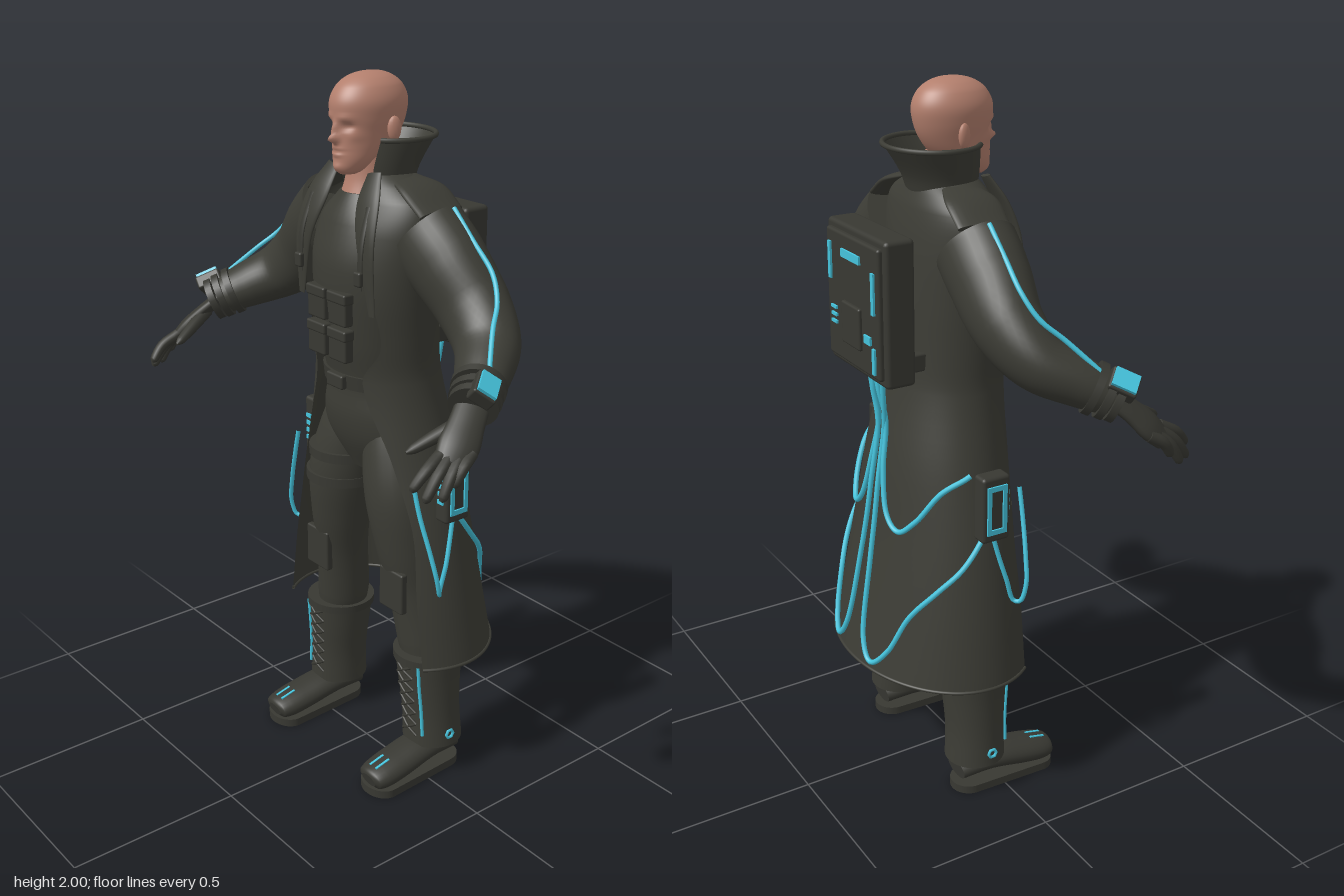
import * as THREE from 'three';
import { RoundedBoxGeometry } from 'three/addons/geometries/RoundedBoxGeometry.js';

const V = (x, y, z) => new THREE.Vector3(x, y, z);
const rad = Math.PI / 180;
const mat = (name, color) => Object.assign(new THREE.MeshStandardMaterial({ color }), { name });

// Skin a list of equal-length rings; closed joins the ring ends, caps fill both tips
function skin(rings, closed, caps) {
  const pos = [], idx = [], n = rings[0].length, m = rings.length;
  const push = p => pos.push(p.x, p.y, p.z);
  rings.forEach(r => r.forEach(push));
  for (let i = 0; i < m - 1; i++) for (let j = 0; j < (closed ? n : n - 1); j++) {
    const a = i * n + j, b = i * n + (j + 1) % n;
    idx.push(a, b, b + n, a, b + n, a + n);
  }
  if (caps) [0, m - 1].forEach(k => {
    const base = pos.length / 3, c = V(0, 0, 0);
    rings[k].forEach(p => { push(p); c.addScaledVector(p, 1 / n); });
    push(c);
    for (let j = 0; j < n; j++) {
      const a = base + j, b = base + (j + 1) % n;
      k ? idx.push(a, b, base + n) : idx.push(b, a, base + n);
    }
  });
  const g = new THREE.BufferGeometry();
  g.setAttribute('position', new THREE.Float32BufferAttribute(pos, 3));
  g.setIndex(idx);
  g.computeVertexNormals();
  return g;
}

// Rows are [y, half width, front z, back z, centre x, front gap]; smooth lookup by height
function rowAt(rows, y) {
  let i = 0;
  while (i < rows.length - 2 && y > rows[i + 1][0]) i++;
  const a = rows[i], b = rows[i + 1], h = b[0] - a[0], u = (y - a[0]) / h;
  const slope = (k, c) => {
    const p = rows[Math.max(k - 1, 0)], q = rows[Math.min(k + 1, rows.length - 1)];
    return ((q[c] || 0) - (p[c] || 0)) / (q[0] - p[0]) * h;
  };
  return [0, 1, 2, 3, 4, 5].map(c => c === 0 ? y :
    (a[c] || 0) * (2 * u ** 3 - 3 * u * u + 1) + slope(i, c) * (u ** 3 - 2 * u * u + u) +
    (b[c] || 0) * (3 * u * u - 2 * u ** 3) + slope(i + 1, c) * (u ** 3 - u * u));
}
// Point on a lofted surface; angle 0 faces front, 90 is the model's left
function onLoft(rows, deg, y, off = 0) {
  const [, w, f, b, cx] = rowAt(rows, y), t = deg * rad;
  return V(cx + (w + off) * Math.sin(t), y, (f + b) / 2 + ((f - b) / 2 + off) * Math.cos(t));
}
function loft(rows, { n = 40, sub = 5, open = false } = {}) {
  const rings = [];
  for (let i = 0; i < rows.length - 1; i++)
    for (let s = 0; s < sub + (i === rows.length - 2 ? 1 : 0); s++) {
      const y = rows[i][0] + (rows[i + 1][0] - rows[i][0]) * s / sub, r = rowAt(rows, y);
      const g = open ? Math.asin(Math.min(1, r[5] / r[1])) / rad : 0, ring = [];
      for (let j = 0; j < n + (open ? 1 : 0); j++) ring.push(onLoft(rows, g + (360 - 2 * g) * j / n, y));
      rings.push(ring);
    }
  return skin(rings, !open, !open);
}
// Tapered limb through [x, y, z, radius]; flat squashes it across the ref direction
function limb(pts, { flat = 1, ref = V(1, 0, 0), n = 20, sub = 6 } = {}) {
  const c = new THREE.CatmullRomCurve3(pts.map(p => V(p[0], p[1], p[2])));
  const rc = new THREE.CatmullRomCurve3(pts.map((p, i) => V(p[3], i, 0)), false, 'catmullrom');
  const rings = [], m = (pts.length - 1) * sub;
  for (let i = 0; i <= m; i++) {
    const p = c.getPoint(i / m), T = c.getTangent(i / m), r = rc.getPoint(i / m).x;
    const N = T.clone().cross(ref).normalize(), B = T.clone().cross(N);
    rings.push(Array.from({ length: n }, (_, j) => p.clone()
      .addScaledVector(N, r * flat * Math.cos(j / n * 2 * Math.PI))
      .addScaledVector(B, r * Math.sin(j / n * 2 * Math.PI))));
  }
  return skin(rings, true, true);
}
const cable = (pts, r = 0.006, seg = 60) =>
  new THREE.TubeGeometry(new THREE.CatmullRomCurve3(pts), seg, r, 8);
const box = (w, h, d, x, y, z, r = 0.006) => new RoundedBoxGeometry(w, h, d, 2, r).translate(x, y, z);
const plate = (w, h, d, x, y, z) => new THREE.BoxGeometry(w, h, d).translate(x, y, z);
function mirrored(geo) {
  const g = geo.clone().applyMatrix4(new THREE.Matrix4().makeScale(-1, 1, 1));
  const src = g.index ? Array.from(g.index.array) : Array.from({ length: g.attributes.position.count }, (_, i) => i);
  for (let i = 0; i < src.length; i += 3) [src[i + 1], src[i + 2]] = [src[i + 2], src[i + 1]];
  g.setIndex(src);
  return g;
}

export function createModel() {
  const model = new THREE.Group();
  model.name = 'longCoatFigure';
  const cloth = mat('charcoalCloth', 0x3c3c35), gear = mat('charcoalGear', 0x383832);
  const skinTone = mat('skin', 0xb37f6d), glow = mat('cyanTrim', 0x45c3dc);
  cloth.side = THREE.DoubleSide;
  const add = (name, geo, m) => {
    const mesh = new THREE.Mesh(geo, m);
    mesh.name = name;
    model.add(mesh);
  };
  const both = (name, geo, m) => { add(name + 'Left', geo, m); add(name + 'Right', mirrored(geo), m); };

  // Head: lofted skull with the face pushed in and out by soft bumps
  const head = loft([[1.745, .02, .085, .03], [1.755, .035, .097, 0], [1.78, .052, .1, -.03], [1.81, .063, .1, -.07],
    [1.85, .072, .1, -.1], [1.89, .081, .104, -.115], [1.93, .084, .104, -.118], [1.965, .071, .085, -.102],
    [1.985, .051, .058, -.077], [1.996, .027, .026, -.048], [2, .003, -.008, -.014]], { n: 96, sub: 6 });
  const bumps = [[0, 1.838, .011, .011, .027], [0, 1.862, .009, .016, .012], [.033, 1.87, .016, .01, -.012],
    [.03, 1.893, .022, .007, .004], [0, 1.812, .02, .004, .005], [0, 1.797, .018, .005, .005],
    [0, 1.805, .024, .002, -.004], [.05, 1.845, .014, .012, .004], [0, 1.765, .018, .01, .005]];
  const hp = head.attributes.position;
  for (let i = 0; i < hp.count; i++) if (hp.getZ(i) > 0.02) {
    let dz = 0;
    for (const [x, y, sx, sy, a] of bumps)
      dz += a * Math.exp(-(((Math.abs(hp.getX(i)) - x) / sx) ** 2 + ((hp.getY(i) - y) / sy) ** 2));
    hp.setZ(i, hp.getZ(i) + dz);
  }
  head.computeVertexNormals();
  add('head', head, skinTone);
  add('neck', loft([[1.67, .075, .075, -.09], [1.73, .064, .055, -.085], [1.81, .06, .05, -.08]]), skinTone);
  both('ear', new THREE.SphereGeometry(1, 16, 12).scale(.011, .032, .019).rotateY(-.3).translate(.086, 1.862, -.022), skinTone);

  // Shirt, belt and chest pouches
  add('shirt', loft([[.91, .09, .03, -.1], [1.0, .165, .072, -.135], [1.08, .165, .09, -.14], [1.17, .145, .09, -.13], [1.3, .155, .115, -.13],
    [1.5, .17, .132, -.14], [1.62, .15, .105, -.13], [1.695, .075, .07, -.09]]), cloth);
  add('belt', loft([[1.165, .152, .099, -.135], [1.205, .155, .103, -.135]]), gear);
  add('beltBuckle', box(.07, .04, .02, 0, 1.185, .105), gear);
  for (const x of [-.045, .045]) for (const y of [1.4, 1.3]) {
    add('chestPouch', box(.074, .085, .03, x, y, .124), gear);
    add('pouchFlap', box(.08, .03, .036, x, y + .033, .125), gear);
  }

  // Long open coat, collar and lapels
  const coat = [[.39, .355, .18, -.34, 0, .31], [.6, .325, .16, -.3, 0, .28], [.8, .29, .14, -.265, 0, .25],
    [1, .245, .12, -.235, 0, .18], [1.2, .2, .115, -.195, 0, .1], [1.3, .2, .125, -.185, 0, .15],
    [1.45, .213, .135, -.175, 0, .14], [1.6, .228, .112, -.16, 0, .11], [1.68, .215, .08, -.145, 0, .09],
    [1.72, .165, .06, -.13, 0, .08], [1.75, .1, .045, -.115, 0, .065]];
  add('coat', loft(coat, { n: 72, open: true }), cloth);
  const hem = Array.from({ length: 40 }, (_, i) => onLoft(coat, 61 + 238 * i / 39, .393));
  add('coatHem', cable(hem, .005, 80), cloth);
  const collar = [[1.7, .1, .045, -.125, 0, .06], [1.76, .112, .055, -.145, 0, .07], [1.84, .137, .055, -.195, 0, .09]];
  add('collar', loft(collar, { n: 48, open: true }), cloth);
  add('collarRim', cable(Array.from({ length: 30 }, (_, i) => onLoft(collar, 41 + 278 * i / 29, 1.836)), .007), cloth);
  both('lapel', limb([[.085, 1.755, .042, .025], [.105, 1.68, .08, .042], [.13, 1.58, .108, .034], [.152, 1.4, .105, .012]], { flat: .25 }), cloth);
  both('lapelStrap', limb([[.118, 1.68, .088, .01], [.127, 1.58, .12, .01], [.128, 1.47, .126, .01]], { flat: .4 }), gear);
  both('strapBuckle', box(.028, .04, .016, .128, 1.5, .13), gear);
  both('shoulderFlap', limb([[.1, 1.735, -.045, .05], [.17, 1.712, -.05, .075], [.235, 1.665, -.055, .075]], { flat: .2, ref: V(0, 0, 1) }), cloth);

  // Sleeves with trim, cuffs and wrist device
  both('sleeve', limb([[.19, 1.6, -.05, .118], [.26, 1.54, -.055, .116], [.36, 1.445, -.06, .102],
    [.445, 1.375, -.03, .088], [.51, 1.33, .042, .074], [.56, 1.292, .115, .058]], { n: 32, flat: .88 }), cloth);
  both('sleeveTrim', cable([V(.272, 1.684, -.064), V(.345, 1.615, -.064), V(.42, 1.545, -.064), V(.465, 1.487, -.04),
    V(.505, 1.437, .01), V(.575, 1.352, .085)], .0065), glow);
  for (const [a, r] of [[0, .07], [.45, .067], [.8, .063]])
    both('cuff', limb([[.53 + .04 * a, 1.315 - .03 * a, .072 + .056 * a, r], [.541 + .04 * a, 1.307 - .03 * a, .087 + .056 * a, r]], { n: 28 }), gear);
  const T = V(.4, -.3, .56).normalize(), side = V(.65, .7, -.1).cross(T).normalize(), out = T.clone().cross(side);
  const wrist = new THREE.Matrix4().makeBasis(side, out, T).setPosition(.605, 1.342, .118);
  both('wristDevice', box(.064, .04, .075, 0, -.015, 0).applyMatrix4(wrist), gear);
  both('wristScreen', plate(.052, .009, .064, 0, .009, 0).applyMatrix4(wrist), glow);

  // Gloved hands
  const W = V(-.55, 0, .85);
  both('palm', limb([[.552, 1.298, .105, .042], [.582, 1.25, .16, .045], [.6, 1.21, .2, .051], [.611, 1.175, .235, .042]], { flat: .45, ref: W }), gear);
  [[.64, 1.13, .25], [.636, 1.102, .285], [.617, 1.102, .32], [.59, 1.125, .337]].forEach(([x, y, z], i) => {
    const s = (i - 1.5) * .025, bx = .608 + W.x * s, by = 1.195, bz = .215 + W.z * s;
    both('finger', limb([[bx, by, bz, .016], [(bx + x) / 2 + .006, (by + y) / 2 + .008, (bz + z) / 2 + .006, .015],
      [x, y + .008, z - .006, .012], [x, y, z, .005]], { n: 10, sub: 4 }), gear);
  });
  both('thumb', limb([[.57, 1.255, .155, .02], [.543, 1.222, .225, .017], [.524, 1.197, .277, .012], [.518, 1.19, .294, .004]], { n: 10 }), gear);

  // Trousers, thigh straps and knee pads
  both('trouserLeg', limb([[.075, 1.1, -.03, .07], [.1, .98, -.026, .095], [.13, .85, -.02, .102], [.152, .7, -.025, .088], [.167, .58, -.04, .077],
    [.19, .42, -.06, .078], [.2, .36, -.06, .07]], { n: 28 }), cloth);
  for (const y of [.92, .84]) {
    const cx = y > .9 ? -.117 : -.132;
    add('thighStrap', loft([[y - .014, .109, .09, -.13, cx], [y + .014, .109, .09, -.13, cx]]), gear);
  }
  both('kneePad', box(.1, .125, .022, .172, .592, .042), gear);

  // Boots with cuff, lacing and trim
  const boot = [[.1, .086, .02, -.155, .226], [.2, .084, .02, -.15, .22], [.3, .09, .028, -.155, .212], [.385, .098, .035, -.162, .208]];
  both('bootShaft', loft(boot), cloth);
  both('bootCuff', loft([[.362, .101, .04, -.167, .208], [.386, .102, .04, -.167, .207]]), gear);
  both('bootTrim', cable([.37, .3, .22, .14].map(y => onLoft(boot, 32, y, .003)), .005, 24), glow);
  for (let i = 0; i < 6; i++) for (const s of [-1, 1]) {
    const y = .135 + i * .038;
    both('lace', cable([-20, 0, 20].map((a, k) => onLoft(boot, a * s, y + k * .019, .003)), .004, 6), gear);
  }
  both('bootFoot', limb([[.228, .065, -.13, .046], [.228, .076, -.03, .058], [.232, .06, .08, .061],
    [.234, .05, .14, .058], [.234, .046, .172, .048], [.234, .044, .18, .03]], { flat: .62, n: 28 }), gear);
  const soleShape = new THREE.Shape();
  soleShape.absellipse(0, .135, .064, .05, 0, Math.PI);
  soleShape.absellipse(0, -.09, .054, .055, Math.PI, 2 * Math.PI);
  both('sole', new THREE.ExtrudeGeometry(soleShape, { depth: .024, bevelEnabled: false, curveSegments: 20 })
    .rotateX(Math.PI / 2).translate(.232, .024, 0), gear);
  for (const x of [.22, .246])
    both('toeMark', plate(.007, .008, .05, 0, 0, 0).rotateX(.22).translate(x, .084, .138), glow);
  both('ankleBadge', new THREE.TorusGeometry(.013, .0045, 6, 6).rotateY(Math.PI / 2).translate(.312, .14, -.06), glow);

  // Backpack with lit panels
  add('backpack', box(.32, .39, .085, 0, 1.445, -.252, .012), gear);
  add('backpackPanel', box(.285, .35, .025, 0, 1.445, -.295, .008), gear);
  add('backpackHatch', box(.1, .115, .016, 0, 1.385, -.309), gear);
  for (const x of [-.1, .1]) add('packBracket', box(.03, .05, .08, x, 1.29, -.18), gear);
  const lights = [[.1, .022, 0, 1.57], [.014, .1, .118, 1.535], [.014, .11, -.118, 1.5], [.035, .022, -.085, 1.37],
    [.03, .008, .1, 1.41], [.03, .008, .1, 1.39], [.03, .008, .1, 1.37], [.014, .07, -.118, 1.32]];
  lights.forEach(([w, h, x, y]) => add('packLight', plate(w, h, .008, x, y, -.3095), glow));

  // Hip modules with lit outline
  both('hipModule', box(.05, .19, .085, .296, .922, -.062, .01), gear);
  const frame = new THREE.Shape([[-.03, -.07], [.03, -.07], [.03, .07], [-.03, .07]].map(p => new THREE.Vector2(...p)));
  frame.holes.push(new THREE.Path([[-.018, -.056], [-.018, .056], [.018, .056], [.018, -.056]].map(p => new THREE.Vector2(...p))));
  both('hipFrame', new THREE.ExtrudeGeometry(frame, { depth: .007, bevelEnabled: false })
    .rotateY(Math.PI / 2).translate(.319, .922, -.062), glow);
  for (let i = 0; i < 4; i++) both('hipLight', plate(.022, .012, .006, .298, .89 + i * .023, -.018), glow);

  // Glowing cables laid over the coat as [angle, height, lift], plus a free side loop
  const runs = [[[179, 1.25, .06], [177, 1.2, .05], [175, 1.1, .014], [172, .97], [166, .86], [156, .82], [144, .86], [126, .95], [103, 1]],
    [[172, 1.25, .06], [173, 1.19, .045], [176, 1.08, .014], [176, .9], [175, .7], [172, .48], [165, .42], [155, .47], [144, .59], [128, .68], [112, .75], [97, .83]]];
  for (const run of runs) {
    const path = new THREE.CatmullRomCurve3(run.map(([a, y, o = .01]) => V(a / 100, y, o)));
    both('backCable', cable(path.getPoints(60).map(p => onLoft(coat, p.x * 100, p.y, p.z)), .0075, 120), glow);
  }
  both('sideCable', cable([V(.262, .94, .048), V(.285, .86, .045), V(.318, .76, .035), V(.338, .68, .025), V(.332, .63, .01),
    V(.318, .63, -.002), V(.316, .7, -.025), V(.308, .77, -.045), V(.3, .84, -.062)], .0065), glow);

  return model;
}
